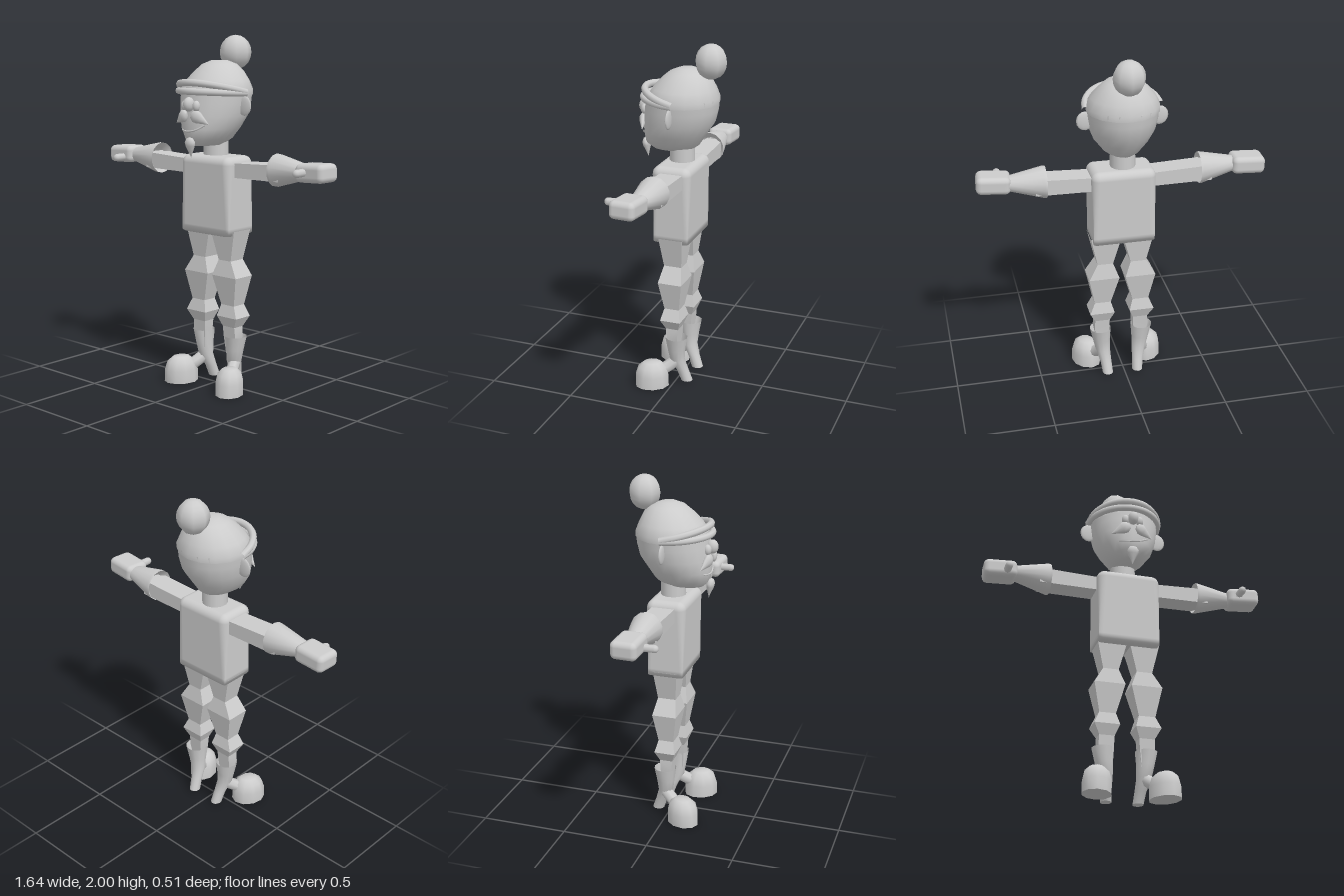
import * as THREE from 'three';
import { toCreasedNormals } from 'three/addons/utils/BufferGeometryUtils.js';
import { RoundedBoxGeometry } from 'three/addons/geometries/RoundedBoxGeometry.js';

const grey = new THREE.MeshStandardMaterial({ color: 0xcccccc });
const greyDouble = new THREE.MeshStandardMaterial({ color: 0xcccccc, side: THREE.DoubleSide });

function add(parent, name, geometry, position = [0, 0, 0], rotation = [0, 0, 0], material = grey) {
  const mesh = new THREE.Mesh(geometry, material);
  mesh.name = name;
  mesh.position.set(...position);
  mesh.rotation.set(...rotation);
  parent.add(mesh);
  return mesh;
}

// Skin through rings [y, centre x, centre z, radius x, radius z], listed from the bottom up
function loft(rings, sides, crease = 0.9, turn = 0) {
  const pos = [], index = [];
  for (const [y, cx, cz, rx, rz] of rings) {
    for (let j = 0; j < sides; j++) {
      const a = (j / sides) * Math.PI * 2 + turn;
      pos.push(cx + Math.cos(a) * rx, y, cz + Math.sin(a) * rz);
    }
  }
  for (let i = 0; i < rings.length - 1; i++) {
    for (let j = 0; j < sides; j++) {
      const a = i * sides + j, b = i * sides + ((j + 1) % sides);
      index.push(a, a + sides, b, b, a + sides, b + sides);
    }
  }
  const geo = new THREE.BufferGeometry();
  geo.setAttribute('position', new THREE.Float32BufferAttribute(pos, 3));
  geo.setIndex(index);
  return toCreasedNormals(geo, crease);
}

function ellipsoid(rx, ry, rz, w = 12, h = 8) {
  return new THREE.SphereGeometry(1, w, h).scale(rx, ry, rz);
}

function tube(points, radius, segments = 16, sides = 8) {
  const curve = new THREE.CatmullRomCurve3(points.map((p) => new THREE.Vector3(...p)));
  return new THREE.TubeGeometry(curve, segments, radius, sides);
}

// Tapered drop whose round end sits at y = 0 and whose tip points down
function drop(length, r, flat) {
  const profile = [[0, -length], [r * 0.45, -length * 0.7], [r * 0.9, -length * 0.42],
    [r, -length * 0.25], [r * 0.65, -length * 0.07], [0, 0]];
  return new THREE.LatheGeometry(profile.map((p) => new THREE.Vector2(...p)), 10).scale(1, 1, flat);
}

function buildHead() {
  const head = new THREE.Group();
  head.name = 'headGroup';

  add(head, 'head', loft([
    [1.39, 0, 0.06, 0, 0],
    [1.395, 0, 0.06, 0.06, 0.11],
    [1.43, 0, 0.055, 0.11, 0.155],
    [1.49, 0, 0.04, 0.155, 0.178],
    [1.56, 0, 0.015, 0.183, 0.2],
    [1.63, 0, 0.003, 0.195, 0.205],
    [1.7, 0, -0.005, 0.2, 0.203],
    [1.72, 0, -0.005, 0, 0],
  ], 20, 1.2));
  add(head, 'hat', loft([
    [1.67, 0, -0.004, 0.203, 0.204],
    [1.7, 0, -0.006, 0.205, 0.204],
    [1.75, 0, -0.014, 0.18, 0.177],
    [1.8, 0, -0.025, 0.14, 0.142],
    [1.84, 0, -0.03, 0.098, 0.098],
    [1.86, 0, -0.028, 0.05, 0.045],
    [1.862, 0, -0.028, 0, 0],
  ], 16, 1.2), [0, 0, 0], [0, 0, 0], greyDouble);
  add(head, 'bobble', ellipsoid(0.09, 0.097, 0.09, 8, 10), [0, 1.903, -0.165]);

  // Two rolled bands wrapping the front half of the hat
  const band = (lift, reach, y) => {
    const points = [];
    for (let i = 0; i <= 8; i++) {
      const a = (i / 8) * Math.PI, s = Math.sin(a);
      points.push([Math.cos(a) * 0.208, y + lift * s, -0.015 + s * reach]);
    }
    return points;
  };
  add(head, 'upperBrim', tube(band(0.055, 0.222, 1.69), 0.02, 24));
  add(head, 'lowerBrim', tube(band(0.012, 0.232, 1.685), 0.019, 24));

  add(head, 'nose', ellipsoid(0.03, 0.04, 0.035), [0, 1.627, 0.222]);
  add(head, 'mouth', tube([[-0.075, 1.483, 0.192], [-0.02, 1.477, 0.215], [0.04, 1.487, 0.213],
    [0.09, 1.515, 0.193]], 0.005, 12, 6));
  add(head, 'goatee', drop(0.115, 0.034, 0.7), [0, 1.447, 0.218], [0.12, 0, 0]);

  for (const s of [1, -1]) {
    add(head, 'eye', ellipsoid(0.022, 0.03, 0.022), [s * 0.042, 1.618, 0.207]);
    add(head, 'moustache', drop(0.125, 0.036, 0.6), [s * 0.018, 1.578, 0.224], [0, s * 0.3, s * 1.08]);
    add(head, 'ear', ellipsoid(0.05, 0.055, 0.011, 10, 8), [s * 0.208, 1.617, 0]);
  }
  return head;
}

function buildArm(side) {
  const arm = new THREE.Group();
  arm.name = side > 0 ? 'leftArm' : 'rightArm';
  const lay = [0, 0, -Math.PI / 2];
  const r2 = Math.SQRT2;

  // Square sleeve
  add(arm, 'sleeve', loft([
    [0.15, -1.262, -0.005, 0.04 * r2, 0.065 * r2],
    [0.5, -1.271, -0.005, 0.045 * r2, 0.065 * r2],
  ], 4, 0.5, Math.PI / 4), [0, 0, 0], lay);
  // Flared glove cuff with a hollow mouth
  add(arm, 'cuff', loft([
    [0.47, -1.28, -0.006, 0.055, 0.058],
    [0.435, -1.281, -0.006, 0.09, 0.088],
    [0.45, -1.281, -0.006, 0.09, 0.088],
    [0.63, -1.287, 0, 0.045, 0.053],
    [0.65, -1.287, 0, 0.04, 0.05],
  ], 14, 0.8), [0, 0, 0], lay, greyDouble);
  // Mitten hand; each hand sits at a slightly different tilt
  const y = side > 0 ? 1.293 : 1.287, z = side > 0 ? 0.018 : -0.003;
  add(arm, 'hand', new RoundedBoxGeometry(0.19, 0.1, 0.146, 3, 0.03), [0.722, y, z],
    [0, side > 0 ? -0.07 : 0.04, side > 0 ? 0.05 : -0.04]);
  const thumbY = side > 0 ? 1.297 : 1.272;
  add(arm, 'thumb', new THREE.CapsuleGeometry(0.022, 0.075, 4, 8),
    [0.688, thumbY, z + 0.087], [Math.PI / 2, 0, 0]);
  arm.scale.x = side;
  return arm;
}

function buildLeg(side) {
  const leg = new THREE.Group();
  leg.name = side > 0 ? 'leftLeg' : 'rightLeg';

  // Square trouser leg with pinched folds: [y, inner x, outer x, half depth]
  const folds = [[0.2, 0.085, 0.14, 0.025], [0.3, 0.073, 0.16, 0.032], [0.36, 0.07, 0.157, 0.037],
    [0.42, 0.045, 0.19, 0.06], [0.487, 0.065, 0.16, 0.044], [0.655, 0.018, 0.195, 0.07],
    [0.745, 0.052, 0.142, 0.052], [0.92, 0.004, 0.182, 0.07]];
  add(leg, 'trouserLeg', loft(folds.map(([y, a, b, d]) =>
    [y, (a + b) / 2, 0, (b - a) / Math.SQRT2, d * Math.SQRT2]), 4, 0.25, Math.PI / 4));

  // Boot shaft sweeping back into a tall heel
  add(leg, 'bootShaft', loft([
    [0.015, 0.09, -0.068, 0, 0],
    [0.015, 0.09, -0.068, 0.031, 0.034],
    [0.08, 0.097, -0.045, 0.033, 0.034],
    [0.15, 0.109, -0.016, 0.043, 0.043],
    [0.22, 0.117, -0.014, 0.051, 0.052],
    [0.3, 0.123, -0.015, 0.063, 0.065],
  ], 12, 0.9), [0, 0, 0], [0, 0, 0], greyDouble);
  add(leg, 'instep', tube([[0.115, 0.15, -0.02], [0.135, 0.115, 0.025], [0.175, 0.07, 0.09]], 0.035, 8));

  // Big domed toe, turned outward
  add(leg, 'toe', loft([
    [0, 0, 0, 0, 0],
    [0, 0, 0, 0.08, 0.1],
    [0.07, 0, 0, 0.08, 0.098],
    [0.12, 0, 0, 0.068, 0.082],
    [0.147, 0, 0, 0.04, 0.05],
    [0.15, 0, 0, 0, 0],
  ], 10, 1.0), [0.188, 0, 0.112], [0, 0.45, 0]);

  leg.scale.x = side;
  leg.position.x = 0.015;
  return leg;
}

export function createModel() {
  const model = new THREE.Group();
  model.name = 'figure';

  // Torso: soft-edged block, slimmer at the hem
  const torso = new RoundedBoxGeometry(0.366, 0.445, 0.226, 4, 0.045);
  const p = torso.attributes.position;
  for (let i = 0; i < p.count; i++) {
    if (p.getY(i) < -0.17) {
      // Square off the hem so it ends flat
      p.setX(i, THREE.MathUtils.clamp(p.getX(i) * 1.1, -0.176, 0.176));
      p.setZ(i, THREE.MathUtils.clamp(p.getZ(i) * 1.2, -0.1, 0.1));
    }
  }
  add(model, 'torso', torso, [0.01, 1.113, 0.003]);
  add(model, 'neck', new THREE.CylinderGeometry(0.07, 0.072, 0.15, 14), [0, 1.365, 0]);

  model.add(buildHead());
  for (const side of [1, -1]) model.add(buildArm(side), buildLeg(side));
  return model;
}
